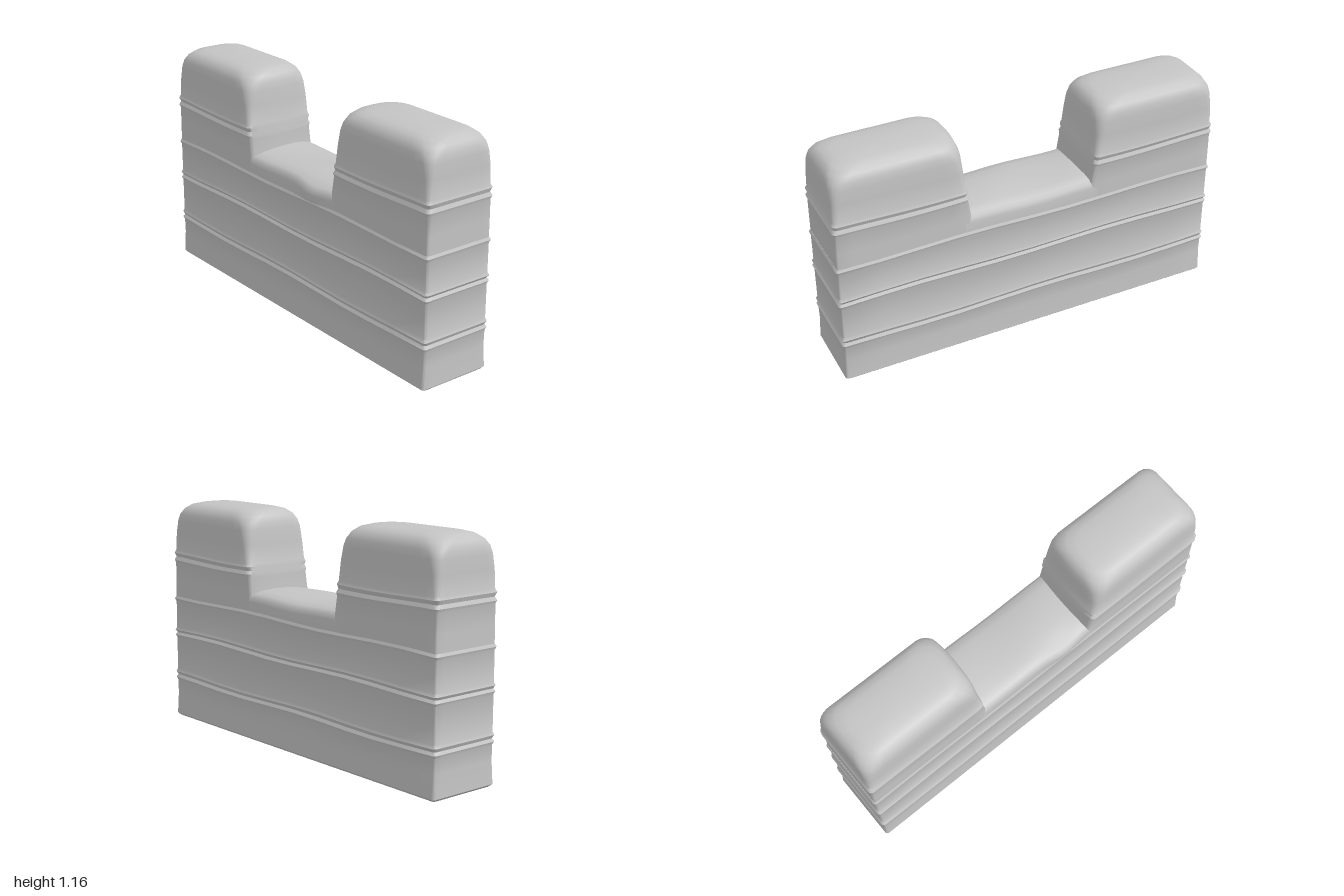
import * as THREE from 'three';
import { toCreasedNormals } from 'three/addons/utils/BufferGeometryUtils.js';

const HALF_Z = 0.186, MID_Z = -0.003;

// Outline of one course: rounded rectangle in plan, with subdivided sides.
// bulge = [at x0, at x1] pushes the middle of an end face outwards.
function ring({ y, x0, x1, z, r, bulge = [0, 0] }) {
  const pts = [];
  const corners = [[x1 - r, z - r, 0], [x0 + r, z - r, 1], [x0 + r, -z + r, 2], [x1 - r, -z + r, 3]];
  corners.forEach(([cx, cz, q], k) => {
    for (let i = 0; i <= 4; i++) {
      const a = (q + i / 4) * Math.PI / 2;
      pts.push([cx + r * Math.cos(a), cz + r * Math.sin(a)]);
    }
    const from = pts[pts.length - 1], next = corners[(k + 1) % 4];
    const a = (q + 1) * Math.PI / 2;
    const to = [next[0] + r * Math.cos(a), next[1] + r * Math.sin(a)];
    for (let i = 1; i < 10; i++) {
      pts.push([from[0] + (to[0] - from[0]) * i / 10, from[1] + (to[1] - from[1]) * i / 10]);
    }
  });
  return pts.map(([px, pz]) => {
    const bow = 1 - (pz / z) ** 2;
    const bx = px > x1 - r - 0.001 ? bulge[1] * bow : px < x0 + r + 0.001 ? -bulge[0] * bow : 0;
    // gently uneven courses
    const wave = y > 0.1 && y < 1.0 ? 0.005 * Math.sin(px * 6 + y * 9) : 0;
    return [px + bx, y + wave, pz + MID_Z];
  });
}

// Skin a stack of outlines and close both ends.
function loft(levels) {
  const rings = levels.map(ring), n = rings[0].length, index = [];
  const positions = rings.flat(2);
  for (let i = 0; i < rings.length - 1; i++) {
    for (let j = 0; j < n; j++) {
      const a = i * n + j, b = i * n + (j + 1) % n;
      index.push(a, a + n, b, b, a + n, b + n);
    }
  }
  [levels[0], levels[levels.length - 1]].forEach((l, end) => {
    const c = positions.length / 3, base = end ? (rings.length - 1) * n : 0;
    positions.push((l.x0 + l.x1) / 2, l.y + (end ? 0.003 : 0), MID_Z);
    for (let j = 0; j < n; j++) {
      const a = base + j, b = base + (j + 1) % n;
      index.push(c, end ? b : a, end ? a : b);
    }
  });
  const g = new THREE.BufferGeometry();
  g.setAttribute('position', new THREE.Float32BufferAttribute(positions, 3));
  g.setIndex(index);
  return toCreasedNormals(g, 0.6);
}

// Wall below the gap: [height, outward offset], with raised lips beside each joint
function wallGeometry() {
  const profile = [
    [0, -0.008], [0.012, 0.004], [0.03, 0.003], [0.12, -0.001], [0.192, 0], [0.206, 0.006],
    [0.221, -0.002], [0.238, 0.006], [0.252, 0], [0.34, 0], [0.432, 0], [0.446, 0.006],
    [0.46, -0.002], [0.474, 0.006], [0.488, 0], [0.56, 0], [0.63, 0], [0.645, 0.006], [0.658, 0],
  ];
  return loft(profile.map(([y, o]) => ({ y, x0: -0.989 - o, x1: 0.989 + o, z: HALF_Z + o, r: 0.015 })));
}

// Raised end block: [height, inner x, outer x, half depth, corner radius]
function merlonGeometry(side) {
  const profile = [
    [0.632, 0.315, 0.988, 0.186, 0.015], [0.74, 0.318, 0.988, 0.186, 0.016],
    [0.83, 0.332, 0.988, 0.186, 0.018], [0.846, 0.331, 0.994, 0.192, 0.02],
    [0.864, 0.337, 0.986, 0.184, 0.02], [0.884, 0.336, 0.993, 0.192, 0.02],
    [0.898, 0.341, 0.987, 0.186, 0.022], [0.99, 0.35, 0.986, 0.185, 0.03],
    [1.06, 0.356, 0.984, 0.183, 0.045], [1.095, 0.362, 0.98, 0.179, 0.06],
    [1.125, 0.374, 0.966, 0.166, 0.075], [1.147, 0.396, 0.942, 0.14, 0.085],
    [1.157, 0.43, 0.905, 0.105, 0.085], [1.162, 0.48, 0.85, 0.06, 0.05],
  ];
  return loft(profile.map(([y, inner, outer, z, r]) => ({
    y, z, r,
    x0: side > 0 ? inner : -outer,
    x1: side > 0 ? outer : -inner,
    bulge: side > 0 ? [0.018, 0] : [0, 0.018],
  })));
}

// Sill between the end blocks: rounded section swept along x
function sillGeometry() {
  const half = [[0.186, 0.632], [0.186, 0.705], [0.18, 0.73], [0.163, 0.746], [0.12, 0.757], [0.06, 0.764]];
  const section = [...half, [0, 0.766], ...half.map(([z, y]) => [-z, y]).reverse()];
  const shape = new THREE.Shape(section.map(([z, y]) => new THREE.Vector2(z, y)));
  const g = new THREE.ExtrudeGeometry(shape, { depth: 0.7, steps: 24, bevelEnabled: false });
  g.translate(0, 0, -0.35).rotateY(Math.PI / 2);
  const p = g.attributes.position;
  for (let i = 0; i < p.count; i++) {
    const x = p.getX(i), y = p.getY(i), z = p.getZ(i);
    // soft bump on the front lip
    const bump = z > 0.15 && y > 0.66 ? 0.014 * Math.exp(-(((x - 0.17) / 0.09) ** 2)) : 0;
    p.setZ(i, z + MID_Z + bump);
    if (y > 0.7) p.setY(i, y + 0.004 * Math.sin(x * 11 + z * 8) - bump * 0.8);
  }
  return toCreasedNormals(g, 0.6);
}

export function createModel() {
  const stone = new THREE.MeshStandardMaterial({ color: 0xc4c4c4 });
  stone.name = 'stone grey';
  const model = new THREE.Group();
  model.name = 'battlementWall';
  const add = (name, geometry) => {
    const mesh = new THREE.Mesh(geometry, stone);
    mesh.name = name;
    model.add(mesh);
  };
  add('wall', wallGeometry());
  add('sill', sillGeometry());
  add('leftMerlon', merlonGeometry(1));
  add('rightMerlon', merlonGeometry(-1));
  return model;
}
